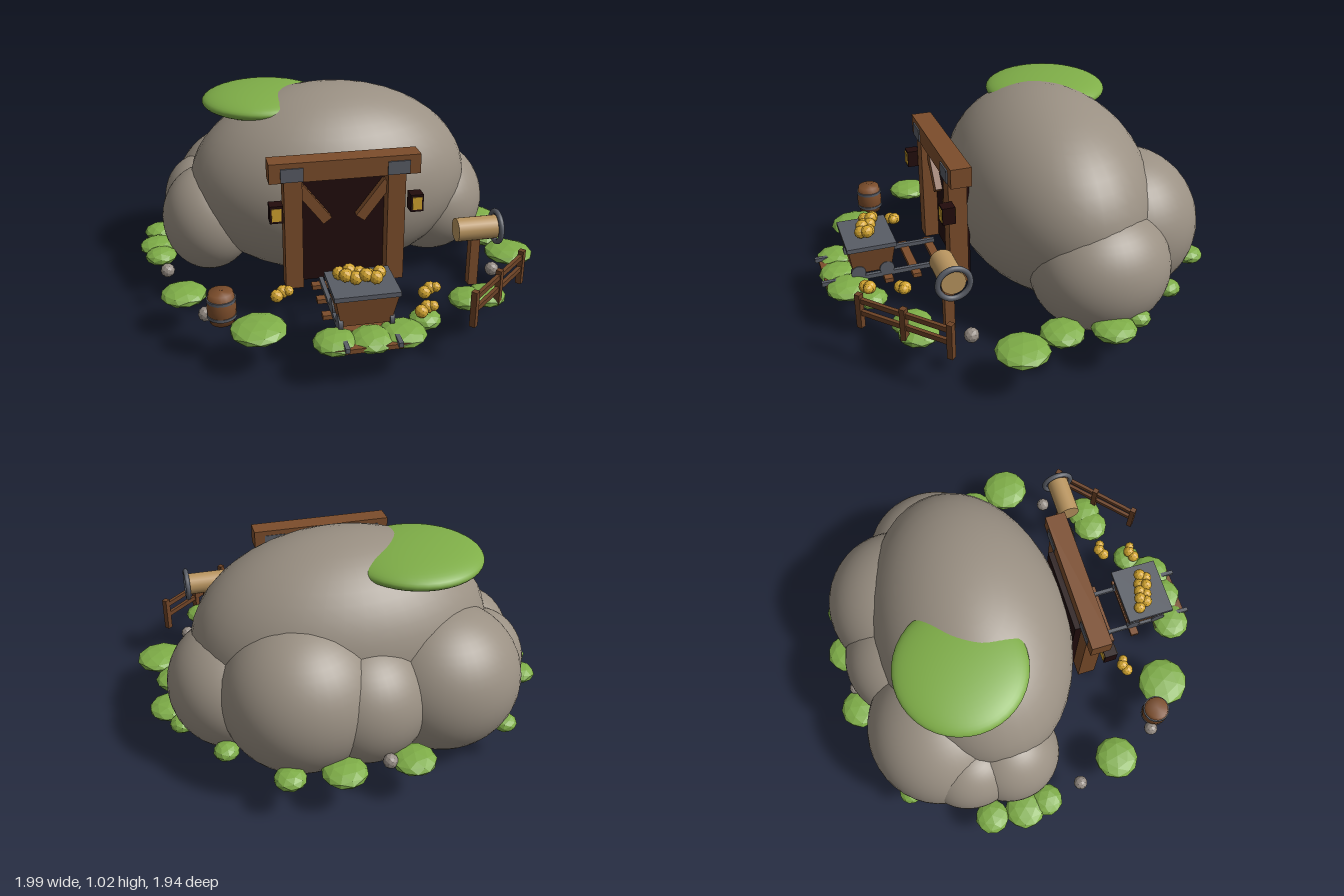
import * as THREE from 'three';

const mat = (name, color, flatShading = false) => {
  const m = new THREE.MeshStandardMaterial({ color, flatShading });
  m.name = name;
  return m;
};

export function createModel() {
  const rock = mat('rock', 0x9a9083);
  const grass = mat('grass', 0x7fae48, true);
  const timber = mat('timber', 0x7c4d2b);
  const darkWood = mat('darkWood', 0x6d4326);
  const shadow = mat('tunnelDark', 0x220c0c);
  const gold = mat('gold', 0xd3a52f, true);
  const iron = mat('iron', 0x595d66);
  const paleWood = mat('paleWood', 0xb8945f);
  const pebble = mat('pebble', 0x958c84, true);

  const root = new THREE.Group();
  root.name = 'mine';
  const group = (name, x = 0, y = 0, z = 0) => {
    const g = new THREE.Group();
    g.name = name;
    g.position.set(x, y, z);
    root.add(g);
    return g;
  };
  const add = (parent, name, geo, m, x = 0, y = 0, z = 0) => {
    const mesh = new THREE.Mesh(geo, m);
    mesh.name = name;
    mesh.position.set(x, y, z);
    parent.add(mesh);
    return mesh;
  };
  const box = (parent, name, m, w, h, d, x, y, z) =>
    add(parent, name, new THREE.BoxGeometry(w, h, d), m, x, y, z);

  // Hill of overlapping boulders: centre, then radii
  const hill = group('hill');
  const ball = new THREE.SphereGeometry(1, 40, 26);
  [
    [0.01, 0.53, -0.21, 0.725, 0.5, 0.49],
    [-0.41, 0.37, -0.5, 0.38, 0.36, 0.36],
    [0.28, 0.41, -0.52, 0.38, 0.37, 0.37],
    [0.0, 0.37, -0.57, 0.31, 0.31, 0.31],
    [0.57, 0.35, -0.27, 0.3, 0.3, 0.34],
    [-0.63, 0.35, -0.2, 0.24, 0.28, 0.25],
    [-0.65, 0.38, -0.4, 0.2, 0.23, 0.23],
  ].forEach(([x, y, z, a, b, c]) => add(hill, 'boulder', ball, rock, x, y, z).scale.set(a, b, c));
  const cap = new THREE.MeshStandardMaterial().copy(grass);
  cap.name = 'grassCap';
  cap.flatShading = false;
  add(hill, 'grassCap', ball, cap, -0.31, 0.935, -0.33).scale.set(0.315, 0.07, 0.31);

  // Grass tufts around the base: x, z, radius
  const tufts = group('grassTufts');
  const tuftGeo = new THREE.IcosahedronGeometry(1, 1);
  [
    [-0.89, -0.37, 0.085], [-0.9, -0.2, 0.1], [-0.89, -0.08, 0.08], [-0.79, 0.33, 0.11],
    [-0.48, 0.7, 0.13], [-0.17, 0.86, 0.1], [-0.01, 0.87, 0.1], [0.13, 0.85, 0.11],
    [0.26, 0.76, 0.075], [0.51, 0.63, 0.095], [0.6, 0.62, 0.095], [0.87, 0.23, 0.125],
    [0.81, 0.02, 0.105], [0.86, -0.21, 0.105], [0.82, -0.35, 0.06], [0.65, -0.6, 0.06],
    [0.41, -0.85, 0.075], [0.17, -0.87, 0.105], [-0.15, -0.87, 0.105], [-0.65, -0.73, 0.06],
  ].forEach(([x, z, r], i) => {
    const t = add(tufts, 'tuft', tuftGeo, grass, x, 0.205, z);
    t.scale.set(r, 0.04, r);
    t.rotation.y = i * 1.3;
  });

  // Loose stones
  const stones = group('stones');
  [[-0.7, 0.55], [-0.86, 0.11], [0.71, 0.41], [-0.04, -0.87]].forEach(([x, z]) =>
    add(stones, 'stone', new THREE.IcosahedronGeometry(0.035, 1), pebble, x, 0.22, z));

  // Tunnel entrance
  const entrance = group('entrance', -0.022);
  box(entrance, 'tunnelMouth', shadow, 0.42, 0.55, 0.05, 0, 0.475, 0.275);
  box(entrance, 'lintel', timber, 0.71, 0.095, 0.1, 0, 0.797, 0.328);
  for (const s of [-1, 1]) {
    box(entrance, 'post', timber, 0.085, 0.56, 0.09, s * 0.245, 0.48, 0.328);
    box(entrance, 'bracket', iron, 0.105, 0.065, 0.11, s * 0.25, 0.787, 0.33);
    box(entrance, 'brace', timber, 0.05, 0.22, 0.035, s * 0.145, 0.615, 0.325).rotation.z = -s * 0.65;
    box(entrance, 'lantern', shadow, 0.062, 0.085, 0.062, s * 0.33, 0.617, 0.392);
    box(entrance, 'lanternGlow', gold, 0.044, 0.062, 0.07, s * 0.33, 0.617, 0.392);
  }

  // Track
  const track = group('track', -0.022);
  for (const z of [0.38, 0.51, 0.65, 0.79, 0.93])
    box(track, 'sleeper', timber, 0.33, 0.022, 0.042, 0, 0.207, z);
  for (const s of [-1, 1])
    box(track, 'rail', iron, 0.02, 0.022, 0.62, s * 0.115, 0.225, 0.66);

  // Mine cart with tapered tub
  const cart = group('cart', -0.022, 0, 0.72);
  const tub = new THREE.BoxGeometry(0.28, 0.14, 0.225);
  const p = tub.attributes.position;
  for (let i = 0; i < p.count; i++)
    if (p.getY(i) < 0) p.setXYZ(i, p.getX(i) * 0.8, p.getY(i), p.getZ(i) * 0.82);
  tub.computeVertexNormals();
  add(cart, 'tub', tub, timber, 0, 0.315, 0);
  box(cart, 'rim', iron, 0.295, 0.022, 0.24, 0, 0.393, 0);
  const wheelGeo = new THREE.CylinderGeometry(0.036, 0.036, 0.02, 16).rotateZ(Math.PI / 2);
  for (const x of [-0.115, 0.115])
    for (const z of [-0.07, 0.07]) add(cart, 'wheel', wheelGeo, iron, x, 0.255, z);

  // Gold nuggets: x, y, z
  const nuggets = group('goldNuggets');
  const nuggetGeo = new THREE.IcosahedronGeometry(0.031, 1);
  const nugget = (x, y, z) => add(nuggets, 'nugget', nuggetGeo, gold, x, y, z);
  for (let i = 0; i < 9; i++)
    nugget(-0.115 + i * 0.021, 0.43 + (i % 3) * 0.009, 0.685 + i * 0.007 + (i % 2 ? 0.02 : -0.015));
  for (const [x, z] of [[-0.36, 0.53], [0.31, 0.63], [0.25, 0.785]]) {
    nugget(x - 0.015, 0.262, z);
    nugget(x + 0.015, 0.272, z - 0.017);
    nugget(x + 0.04, 0.28, z - 0.005).scale.setScalar(0.8);
  }

  // Barrel with iron hoops
  const barrel = group('barrel', -0.63, 0.2, 0.59);
  const stave = [[0, 0], [0.055, 0], [0.064, 0.04], [0.067, 0.075], [0.064, 0.11], [0.055, 0.15], [0, 0.15]];
  add(barrel, 'staves', new THREE.LatheGeometry(stave.map(([x, y]) => new THREE.Vector2(x, y)), 18), timber);
  for (const y of [0.035, 0.115])
    add(barrel, 'hoop', new THREE.CylinderGeometry(0.067, 0.067, 0.014, 18), iron, 0, y, 0);

  // Winch drum on a post
  const winch = group('winch', 0.58, 0, 0.475);
  box(winch, 'post', timber, 0.045, 0.25, 0.045, 0, 0.32, 0);
  add(winch, 'drum', new THREE.CylinderGeometry(0.056, 0.056, 0.195, 24).rotateZ(Math.PI / 2), paleWood, 0.003, 0.487, 0);
  add(winch, 'ring', new THREE.TorusGeometry(0.073, 0.013, 10, 32).rotateY(Math.PI / 2), iron, 0.105, 0.487, 0);

  // Fence
  const fence = group('fence', 0.63, 0, 0.69);
  fence.rotation.y = Math.atan2(0.32, 0.35);
  for (const x of [-0.237, 0, 0.237]) box(fence, 'post', darkWood, 0.028, 0.175, 0.028, x, 0.287, 0);
  for (const y of [0.28, 0.343]) box(fence, 'rail', darkWood, 0.474, 0.024, 0.018, 0, y, 0);

  return root;
}
